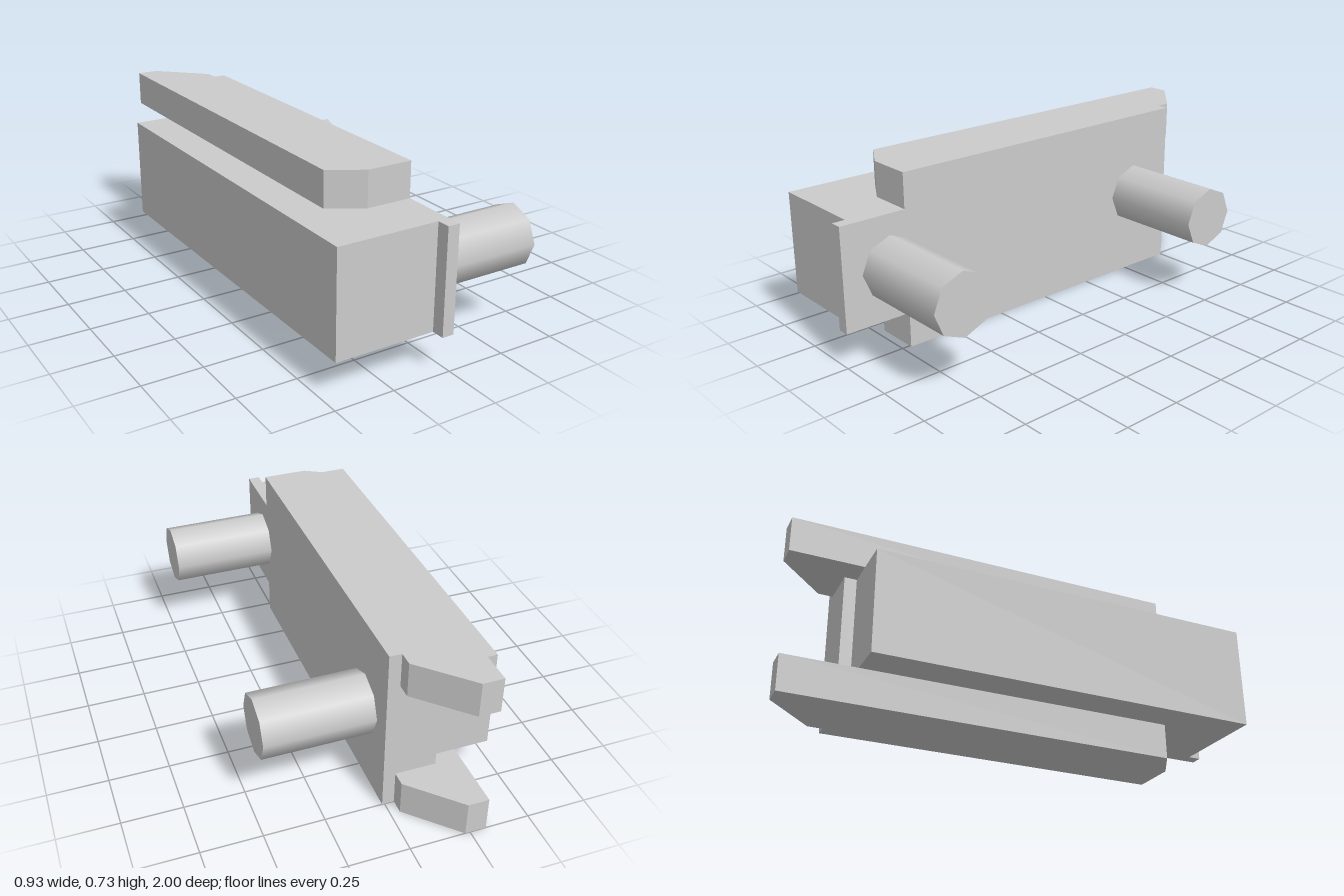
import * as THREE from 'three';

const material = new THREE.MeshStandardMaterial({ color: 0xcccccc });

// Upright slab from a plan outline of [x, z] corners, between heights y0 and y1
function slab(name, outline, y0, y1) {
  const shape = new THREE.Shape(outline.map(([x, z]) => new THREE.Vector2(x, -z)));
  const geometry = new THREE.ExtrudeGeometry(shape, { depth: y1 - y0, bevelEnabled: false });
  geometry.rotateX(-Math.PI / 2).translate(0, y0, 0);
  const mesh = new THREE.Mesh(geometry, material);
  mesh.name = name;
  return mesh;
}

export function createModel() {
  const group = new THREE.Group();
  group.name = 'peggedBlock';

  // Middle body: thin lip at the front end, stepped block at the back end
  const body = [
    [0.01, 1], [-0.04, 1], [-0.04, 0.945], [-0.463, 0.945],
    [-0.463, -0.7], [-0.21, -0.7], [-0.21, -0.75], [0.01, -0.75],
  ];
  group.add(slab('body', body, 0.149, 0.583));

  // Matching rails below and above, with hooked back ends and a chamfered front
  const rail = [
    [0.01, 0.715], [-0.18, 0.715], [-0.317, 0.635], [-0.317, -1],
    [-0.23, -1], [-0.04, -0.81], [-0.04, -0.75], [0.01, -0.75],
  ];
  group.add(slab('lowerRail', rail, 0, 0.149));
  group.add(slab('upperRail', rail, 0.583, 0.73));

  // Two eight-sided pegs on the left face
  const pegGeometry = new THREE.CylinderGeometry(0.13, 0.13, 0.453, 8);
  pegGeometry.rotateZ(-Math.PI / 2);
  for (const [name, z] of [['frontPeg', 0.785], ['backPeg', -0.537]]) {
    const peg = new THREE.Mesh(pegGeometry, material);
    peg.name = name;
    peg.position.set(0.2365, 0.366, z);
    group.add(peg);
  }

  return group;
}
